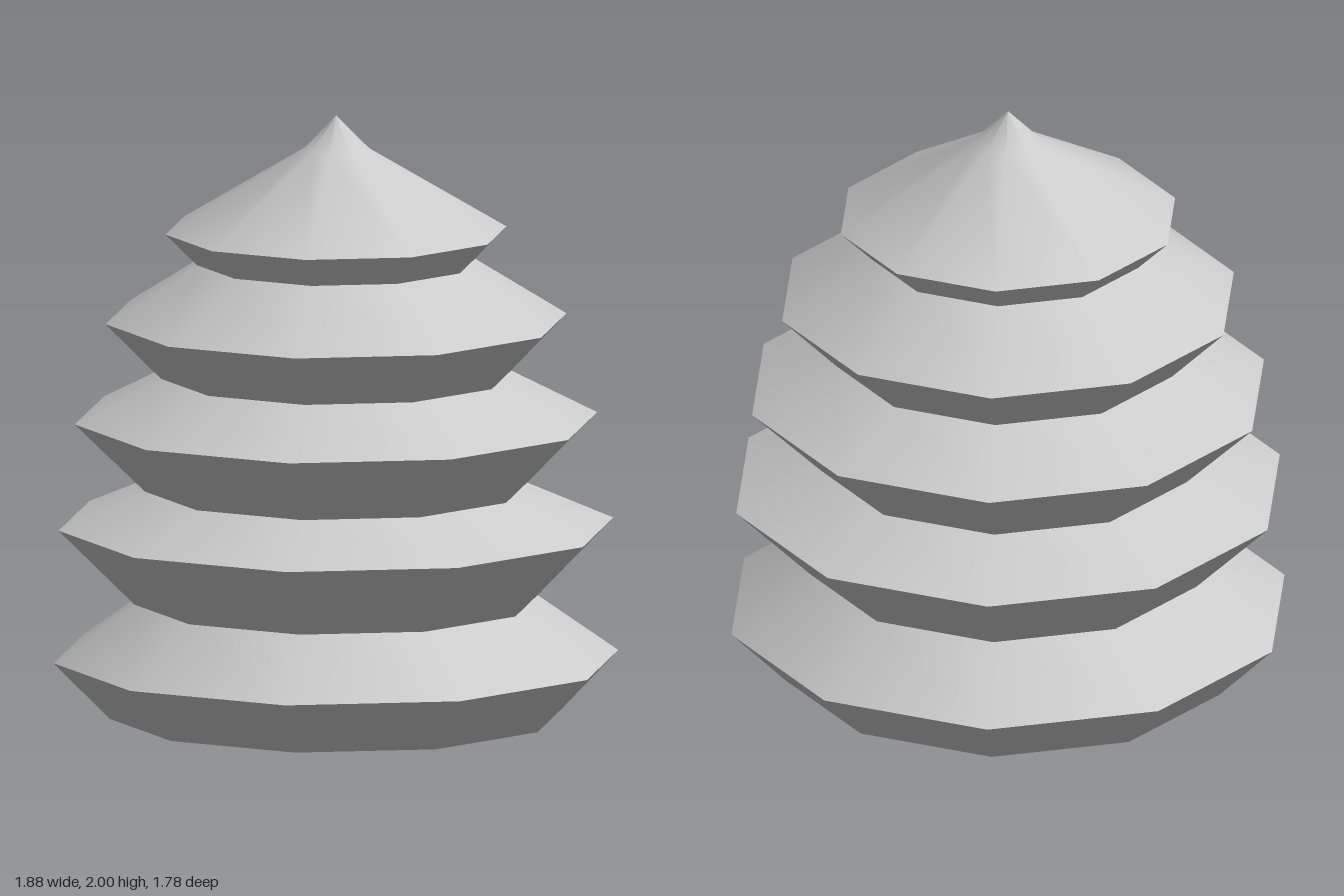
import * as THREE from 'three';

const SIDES = 10;

export function createModel() {
  const model = new THREE.Group();
  model.name = 'tieredTower';
  const grey = new THREE.MeshStandardMaterial({ color: 0xcccccc });
  grey.name = 'light grey';

  // One ten-sided band, smooth within itself, with a corner on the x axis
  function band(name, profile, parent) {
    const points = profile.map(([r, y]) => new THREE.Vector2(r, y));
    const geometry = new THREE.LatheGeometry(points, SIDES).rotateY(Math.PI / 2);
    const mesh = new THREE.Mesh(geometry, grey);
    mesh.name = name;
    parent.add(mesh);
  }

  // Each tier: lower neck, outer rim, then the roof points above the rim
  const tiers = [
    { neck: [0.753, 0], rim: [0.938, 0.19], roof: [[0.67, 0.38]] },
    { neck: [0.67, 0.38], rim: [0.922, 0.633], roof: [[0.635, 0.757]] },
    { neck: [0.635, 0.757], rim: [0.868, 0.987], roof: [[0.582, 1.133]] },
    { neck: [0.582, 1.133], rim: [0.766, 1.32], roof: [[0.462, 1.51]] },
    { neck: [0.462, 1.51], rim: [0.567, 1.615], roof: [[0.11, 1.888], [0, 2]] },
  ];

  // Flat floor closing the bottom
  band('base', [[0, 0], tiers[0].neck], model);

  tiers.forEach(({ neck, rim, roof }, i) => {
    const tier = new THREE.Group();
    tier.name = `tier${i + 1}`;
    band('eave', [neck, rim], tier);
    band('roof', [rim, ...roof], tier);
    model.add(tier);
  });

  return model;
}
